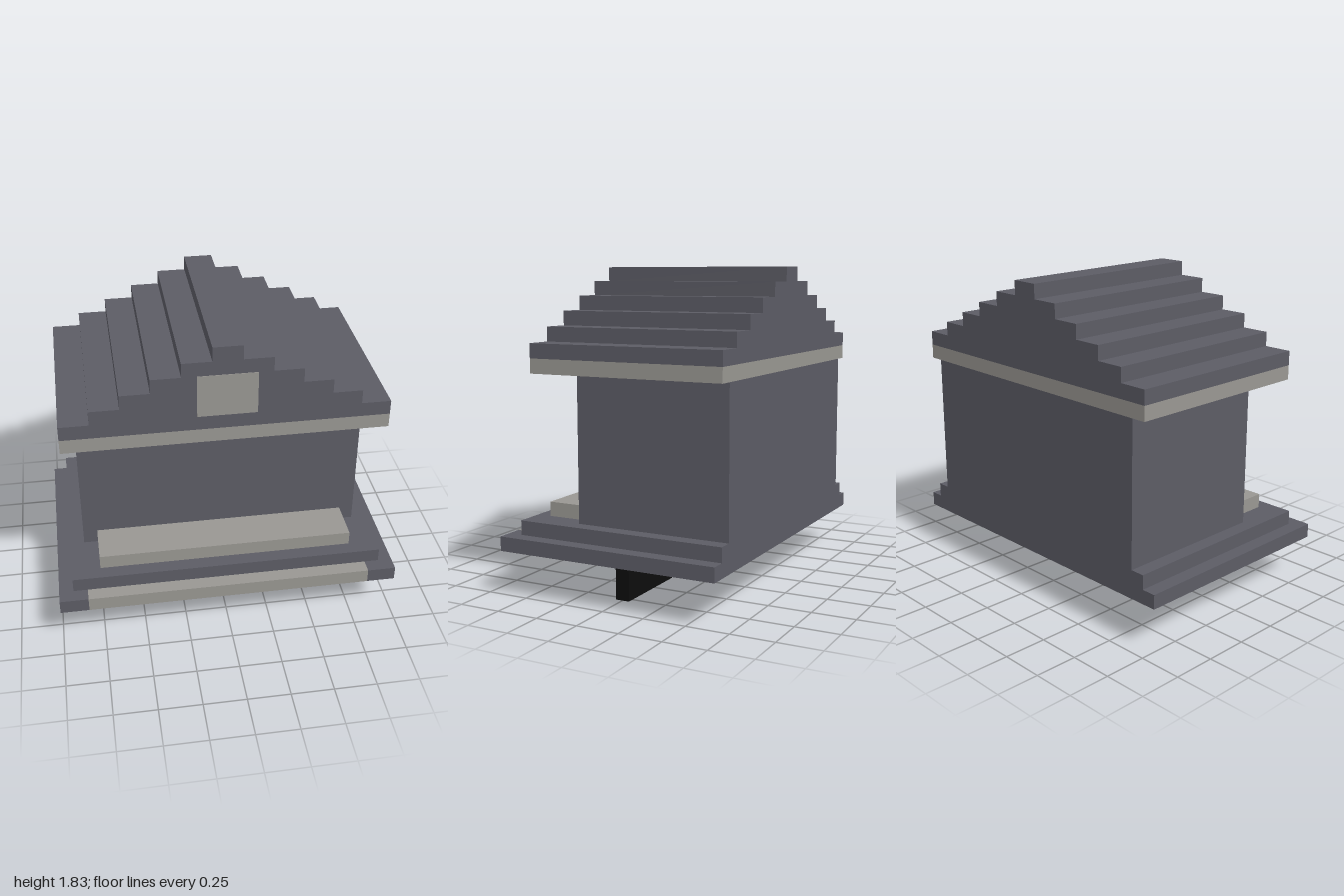
import * as THREE from 'three';

const U = 1 / 12; // one block step
const material = (name, color) => new THREE.MeshStandardMaterial({ name, color });

export function createModel() {
  const slate = material('slate grey', 0x5c5c65);
  const stone = material('pale stone', 0x999792);
  const black = material('black', 0x0d0d0d);
  const model = new THREE.Group();
  model.name = 'shrine';

  // Box given by its limits on each axis
  function block(name, mat, [x0, x1], [y0, y1], [z0, z1]) {
    const mesh = new THREE.Mesh(new THREE.BoxGeometry(x1 - x0, y1 - y0, z1 - z0), mat);
    mesh.position.set((x0 + x1) / 2, (y0 + y1) / 2, (z0 + z1) / 2);
    mesh.name = name;
    model.add(mesh);
    return mesh;
  }
  const wide = (n) => [-n * U, n * U];
  const span = (a, b) => [a * U, b * U];

  // Plinth: bottom slab with a pale front edge set between two corners
  block('bottomSlab', slate, wide(12), span(3, 4), span(-8, 7));
  block('frontEdge', stone, wide(10), span(3, 4), span(7, 8));
  block('leftCorner', slate, span(10, 12), span(3, 4), span(7, 8));
  block('rightCorner', slate, span(-12, -10), span(3, 4), span(7, 8));
  block('upperSlab', slate, wide(11), span(4, 5), span(-8, 7));

  // Pale step in front of the walls
  block('frontStep', stone, wide(9), span(5, 6), span(3, 6));

  // Walls and eave
  block('walls', slate, wide(10), span(5, 15), span(-8, 3));
  block('eave', stone, wide(11), span(15, 16), span(-8, 6));

  // Stepped gable roof, one extruded outline
  const right = [];
  for (let i = 0; i < 6; i++) {
    const half = (11 - 2 * i) * U;
    right.push([half, (16 + i) * U], [half, (17 + i) * U]);
  }
  const left = right.map(([x, y]) => [-x, y]).reverse();
  const outline = new THREE.Shape([...right, ...left].map(([x, y]) => new THREE.Vector2(x, y)));
  const roof = new THREE.Mesh(
    new THREE.ExtrudeGeometry(outline, { depth: 14 * U, bevelEnabled: false }), slate);
  roof.position.z = -8 * U;
  roof.name = 'steppedRoof';
  model.add(roof);

  // Pale panel on the front gable
  block('gablePanel', stone, wide(2), span(17, 20), [6 * U - 0.003, 6 * U + 0.003]);

  // Black supports below the plinth
  block('rightPeg', black, [-0.545, -0.46], span(1, 3), span(-0.5, 0.5));
  block('middleSupport', black, [-0.295, 0.205], span(0, 3), span(-0.5, 0.5));
  block('leftSupport', black, [0.29, 0.79], span(0, 3), span(-0.5, 0.5));

  return model;
}
